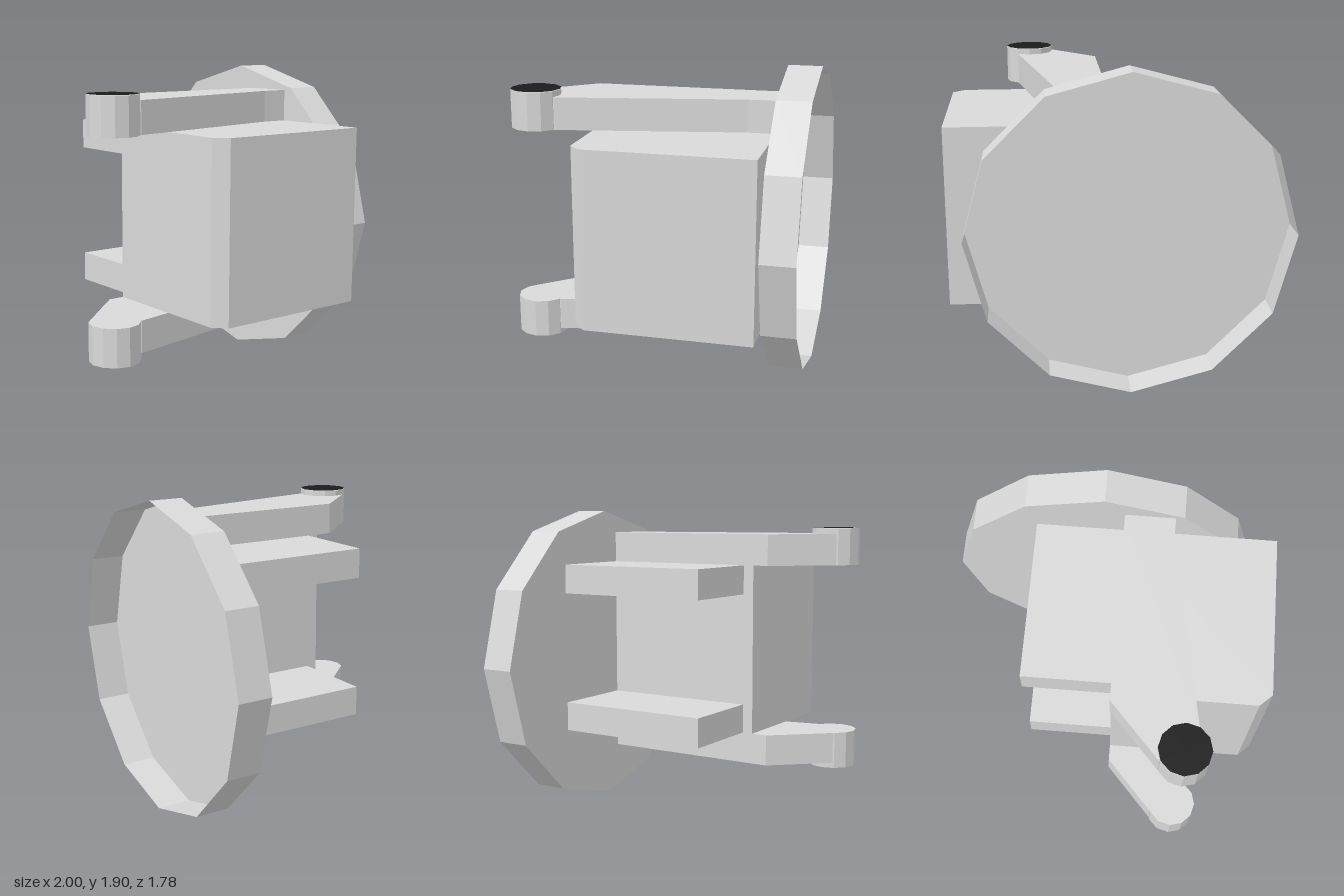
import * as THREE from 'three';

export function createModel() {
  const model = new THREE.Group();
  model.name = 'hingeBracket';

  // Double sided because the back dish is an open sheet
  const grey = new THREE.MeshStandardMaterial({ color: 0xd9d9d9, side: THREE.DoubleSide });
  grey.name = 'light grey';
  const black = new THREE.MeshStandardMaterial({ color: 0x1b1b1b });
  black.name = 'black';

  const add = (name, geometry, material, x = 0, y = 0, z = 0) => {
    const mesh = new THREE.Mesh(geometry, material);
    mesh.name = name;
    mesh.position.set(x, y, z);
    model.add(mesh);
  };

  // Extrudes a plan outline of [x, z] points upward from y = 0
  const slab = (points, height) => {
    const shape = new THREE.Shape(points.map(([x, z]) => new THREE.Vector2(x, -z)));
    return new THREE.ExtrudeGeometry(shape, { depth: height, bevelEnabled: false }).rotateX(-Math.PI / 2);
  };

  // Twelve-sided prism with flat sides, with or without end faces
  const prism = (radius, height, open = false) => {
    const geometry = new THREE.CylinderGeometry(radius, radius, height, 12, 1, open).toNonIndexed();
    geometry.computeVertexNormals();
    return geometry;
  };

  const backZ = -0.68;
  const bottomY = 0.502, topY = 1.568;

  // Shallow back dish: a front plate and a thin rim, open to the rear
  const dishRadius = 0.952, dishX = -0.05, dishDepth = 0.21;
  add('dishPlate', new THREE.CircleGeometry(dishRadius, 12), grey, dishX, dishRadius, backZ);
  add('dishRim', prism(dishRadius, dishDepth, true).rotateX(Math.PI / 2), grey,
    dishX, dishRadius, backZ - dishDepth / 2);

  // Main block with one chamfered front corner
  const block = [[0.07, backZ], [0.07, 0.38], [0.925, 0.38], [1, 0.31], [1, backZ]];
  add('mainBlock', slab(block, topY - bottomY), grey, 0, bottomY, 0);

  // Upper and lower shelf, arm and pivot post
  const arm = [[0.07, backZ], [0.07, 0.48], [0.365, 0.805], [0.502, 0.74], [0.577, 0.6], [0.372, -0.51], [0.372, backZ]];
  const armHeight = 0.194, postHeight = 0.229, shelfHeight = 0.182, shelfFrontZ = 0.312;
  const postRadius = 0.151, postX = 0.502, postZ = 0.738;
  for (const side of [1, -1]) {
    const prefix = side > 0 ? 'upper' : 'lower';
    const face = side > 0 ? topY : bottomY;

    add(prefix + 'Shelf', new THREE.BoxGeometry(0.536, shelfHeight, shelfFrontZ - backZ), grey,
      -0.198, face - side * shelfHeight / 2, (shelfFrontZ + backZ) / 2);

    add(prefix + 'Arm', slab(arm, armHeight), grey, 0, side > 0 ? face : face - armHeight, 0);

    add(prefix + 'Post', prism(postRadius, postHeight), grey, postX, face + side * postHeight / 2, postZ);

    // Thin black cap on the outer end of the post
    const cap = new THREE.CircleGeometry(postRadius, 12).rotateX(-side * Math.PI / 2);
    add(prefix + 'PostCap', cap, black, postX, face + side * (postHeight + 0.003), postZ);
  }

  return model;
}
